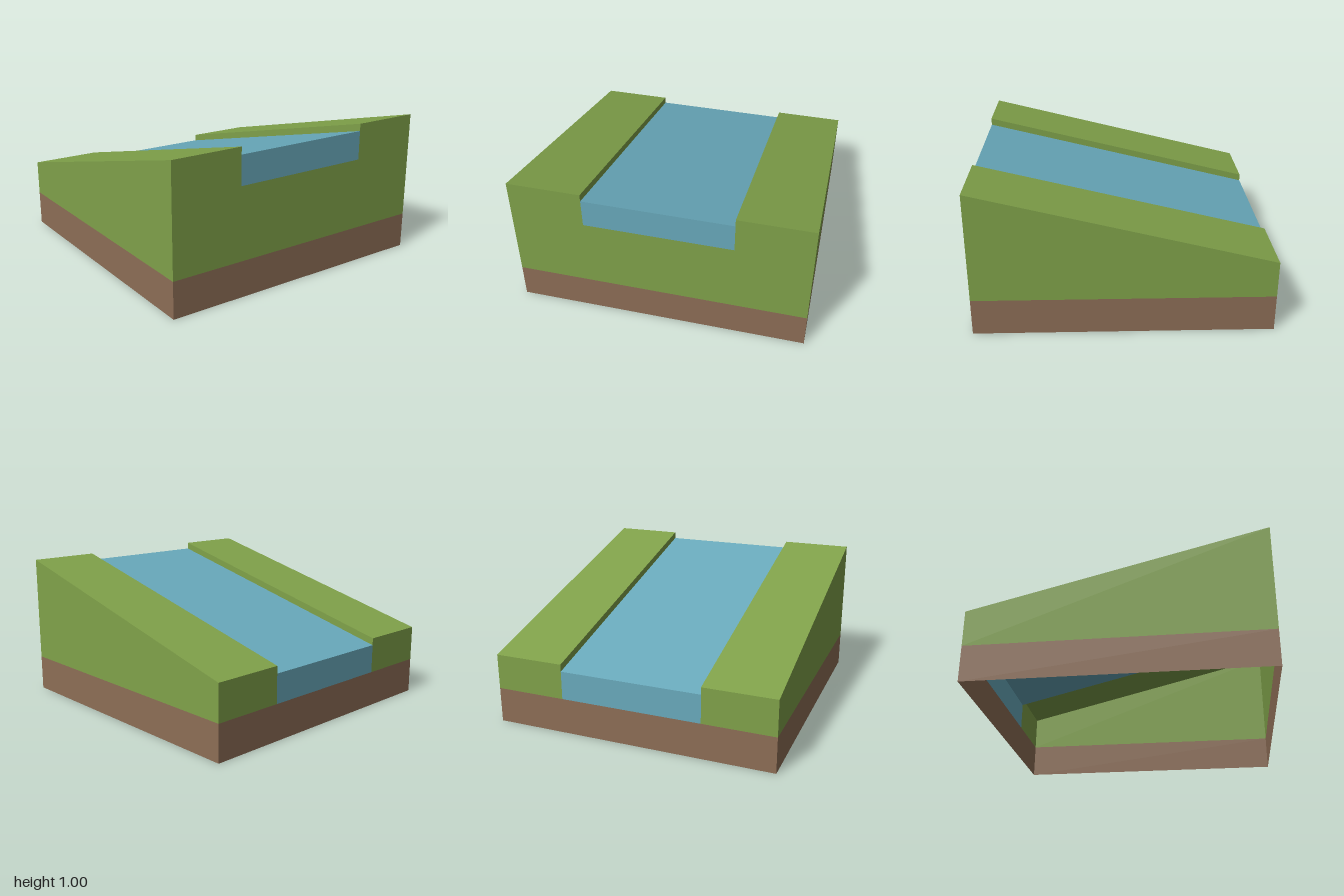
import * as THREE from 'three';

const material = (name, color) =>
  new THREE.MeshStandardMaterial({ name, color, side: THREE.DoubleSide });

// Flat four-cornered panel, corners counter-clockwise seen from outside
function panel(name, mat, corners, flip = false) {
  const geo = new THREE.BufferGeometry();
  geo.setAttribute('position', new THREE.Float32BufferAttribute(corners.flat(), 3));
  geo.setIndex(flip ? [0, 2, 1, 0, 3, 2] : [0, 1, 2, 0, 2, 3]);
  geo.computeVertexNormals();
  const mesh = new THREE.Mesh(geo, mat);
  mesh.name = name;
  return mesh;
}

export function createModel() {
  const grass = material('grass', 0x80a24a);
  const water = material('water', 0x69aabc);
  const earth = material('earth', 0x8d6e56);
  const model = new THREE.Group();
  model.name = 'riverSlopeTile';

  const soil = 0.25, half = 0.5; // soil height, half river width
  const top = x => 0.75 + 0.25 * x; // sloping bank height
  const surface = x => top(x) - 0.05; // water level
  const bed = x => top(x) - 0.25; // bottom of the water on the end walls

  // Upright panel across an end wall
  const endPanel = (name, mat, x, z0, z1, y0, y1) => model.add(panel(name, mat,
    [[x, y0, z1], [x, y0, z0], [x, y1, z0], [x, y1, z1]], x < 0));

  // Sloping river surface
  model.add(panel('riverSurface', water, [
    [-1, surface(-1), half], [1, surface(1), half],
    [1, surface(1), -half], [-1, surface(-1), -half]]));

  for (const s of [1, -1]) {
    const flip = s < 0;
    // Bank tops, steps down to the water and long side walls
    model.add(panel('bankTop', grass, [
      [-1, top(-1), s], [1, top(1), s],
      [1, top(1), s * half], [-1, top(-1), s * half]], flip));
    model.add(panel('bankStep', grass, [
      [1, surface(1), s * half], [-1, surface(-1), s * half],
      [-1, top(-1), s * half], [1, top(1), s * half]], flip));
    model.add(panel('grassSide', grass, [
      [-1, soil, s], [1, soil, s], [1, top(1), s], [-1, top(-1), s]], flip));
    model.add(panel('earthSide', earth, [
      [-1, 0, s], [1, 0, s], [1, soil, s], [-1, soil, s]], flip));

    // End walls: earth, river section and grass on both sides of it
    endPanel('earthEnd', earth, s, -1, 1, 0, soil);
    endPanel('riverEnd', water, s, -half, half, bed(s), surface(s));
    endPanel('grassEnd', grass, s, half, 1, soil, top(s));
    endPanel('grassEnd', grass, s, -1, -half, soil, top(s));
  }
  // Grass below the river at the high end
  endPanel('grassUnderRiver', grass, 1, -half, half, soil, bed(1));

  return model;
}
